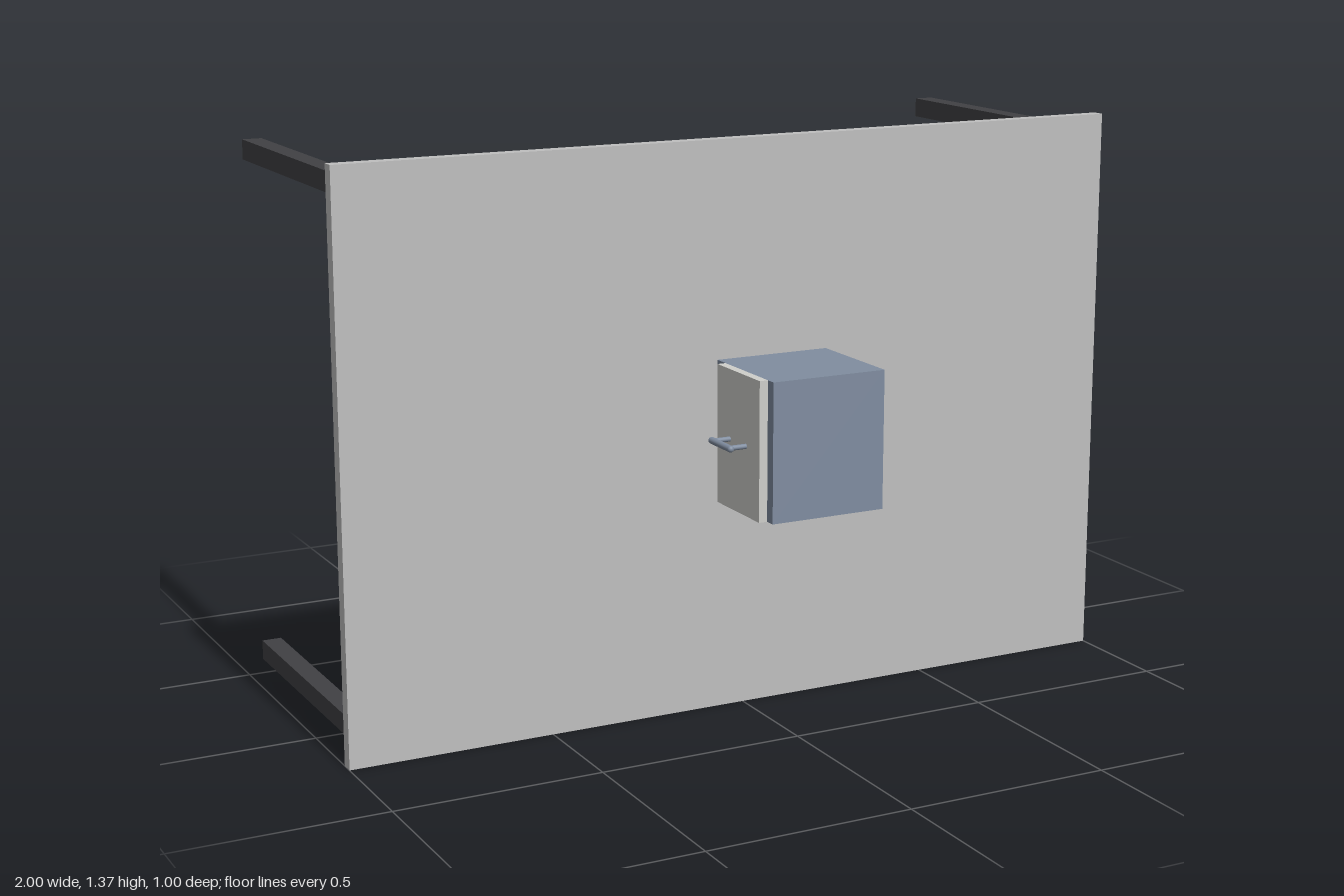
import * as THREE from 'three';

const material = (name, color) => {
  const m = new THREE.MeshStandardMaterial({ color });
  m.name = name;
  return m;
};

export function createModel() {
  const model = new THREE.Group();
  model.name = 'panelWithBox';
  const panelGrey = material('panelGrey', 0xbfbfbf);
  const charcoal = material('charcoal', 0x414144);
  const slateBlue = material('slateBlue', 0x808da0);
  const paleGrey = material('paleGrey', 0xcfcfcb);

  const add = (parent, name, geometry, mat, x, y, z) => {
    const mesh = new THREE.Mesh(geometry, mat);
    mesh.name = name;
    mesh.position.set(x, y, z);
    parent.add(mesh);
    return mesh;
  };
  // Box given by its lower and upper corners
  const box = (name, mat, [x0, y0, z0], [x1, y1, z1]) =>
    add(model, name, new THREE.BoxGeometry(x1 - x0, y1 - y0, z1 - z0), mat,
      (x0 + x1) / 2, (y0 + y1) / 2, (z0 + z1) / 2);

  // Upright slab
  box('panel', panelGrey, [-1, 0, 0.198], [1, 1.365, 0.23]);

  // Four square legs reaching back from the corners
  for (const side of [-1, 1]) {
    for (const y of [0.06, 1.31]) {
      const x = side * 0.94;
      box('leg', charcoal, [x - 0.024, y - 0.024, -0.5], [x + 0.024, y + 0.024, 0.198]);
    }
  }

  // Box passing through the panel, with a door on its right side
  box('cabinet', slateBlue, [-0.07, 0.52, 0.085], [0.22, 0.85, 0.5]);
  box('door', paleGrey, [-0.091, 0.52, 0.27], [-0.07, 0.85, 0.474]);

  // Bar handle on two posts
  const handle = new THREE.Group();
  handle.name = 'handle';
  handle.position.set(-0.134, 0.685, 0.37);
  model.add(handle);
  const grip = add(handle, 'grip', new THREE.CapsuleGeometry(0.008, 0.092, 6, 16), slateBlue, 0, 0, 0);
  grip.rotation.x = Math.PI / 2;
  for (const z of [-0.039, 0.039]) {
    const post = add(handle, 'handlePost', new THREE.CylinderGeometry(0.006, 0.006, 0.044, 16), slateBlue, 0.022, 0, z);
    post.rotation.z = Math.PI / 2;
  }
  return model;
}
